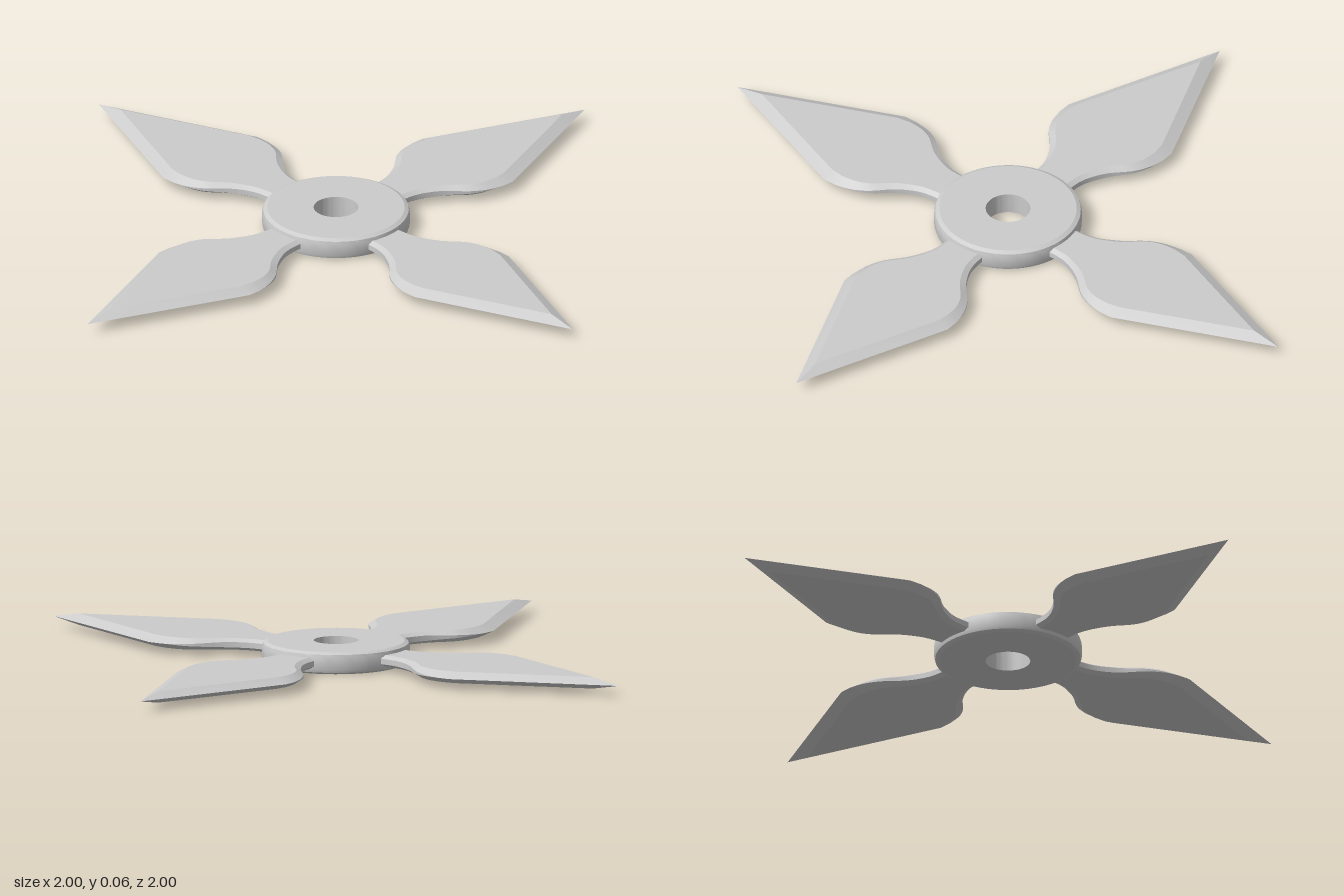
import * as THREE from 'three';
import { toCreasedNormals } from 'three/addons/utils/BufferGeometryUtils.js';

const MID = 0.0325; // height of the middle plane
const HALF = 0.017; // half thickness of a blade

// Curved neck: distance from centre, half width; outer edge and the crease inside it
const curve = (pts) => new THREE.SplineCurve(pts.map((p) => new THREE.Vector2(...p))).getPoints(18);
const outer = curve([[0.15, 0.064], [0.21, 0.065], [0.27, 0.073], [0.335, 0.107], [0.39, 0.155], [0.44, 0.18], [0.49, 0.19]]);
const inner = curve([[0.15, 0.05], [0.21, 0.051], [0.275, 0.059], [0.345, 0.092], [0.4, 0.138], [0.445, 0.157], [0.49, 0.161]]);
// Straight cutting edges up to the point
outer.push(new THREE.Vector2(0.53, 0.19), new THREE.Vector2(1, 0));
inner.push(new THREE.Vector2(0.53, 0.155), new THREE.Vector2(0.91, 0));

// Lofts eight-point cross-sections along the blade
function bladeGeometry() {
  const pos = [], index = [];
  outer.forEach((o, i) => {
    const n = inner[i];
    const e = 0.008 * THREE.MathUtils.clamp((0.47 - o.x) / 0.15, 0, 1); // blunt edge at the neck
    const side = [[n, HALF], [o, e], [o, -e], [n, -HALF]];
    for (const [p, y] of side) pos.push(p.x, MID + y, p.y);
    for (const [p, y] of side.reverse()) pos.push(p.x, MID + y, -p.y);
  });
  for (let i = 0; i < outer.length - 1; i++) {
    for (let j = 0; j < 8; j++) {
      const k = (j + 1) % 8;
      const a = i * 8 + j, b = i * 8 + k, c = b + 8, d = a + 8;
      index.push(a, b, c, a, c, d);
    }
  }
  const g = new THREE.BufferGeometry();
  g.setAttribute('position', new THREE.Float32BufferAttribute(pos, 3));
  g.setIndex(index);
  return toCreasedNormals(g, 0.38);
}

// Disc with chamfered rims and a round hole
function hubGeometry() {
  const profile = [
    [0.065, 0], [0.2, 0], [0.212, 0.006], [0.215, 0.015], [0.215, 0.05],
    [0.212, 0.059], [0.2, 0.065], [0.065, 0.065], [0.065, 0],
  ].map((p) => new THREE.Vector2(...p));
  return toCreasedNormals(new THREE.LatheGeometry(profile, 64), 0.4);
}

export function createModel() {
  const model = new THREE.Group();
  model.name = 'throwingStar';
  const material = new THREE.MeshStandardMaterial({ color: 0xcccccc });

  const hub = new THREE.Mesh(hubGeometry(), material);
  hub.name = 'hub';
  model.add(hub);

  const geometry = bladeGeometry();
  ['leftBlade', 'backBlade', 'rightBlade', 'frontBlade'].forEach((name, i) => {
    const blade = new THREE.Mesh(geometry, material);
    blade.name = name;
    blade.rotation.y = (i * Math.PI) / 2;
    model.add(blade);
  });
  return model;
}
